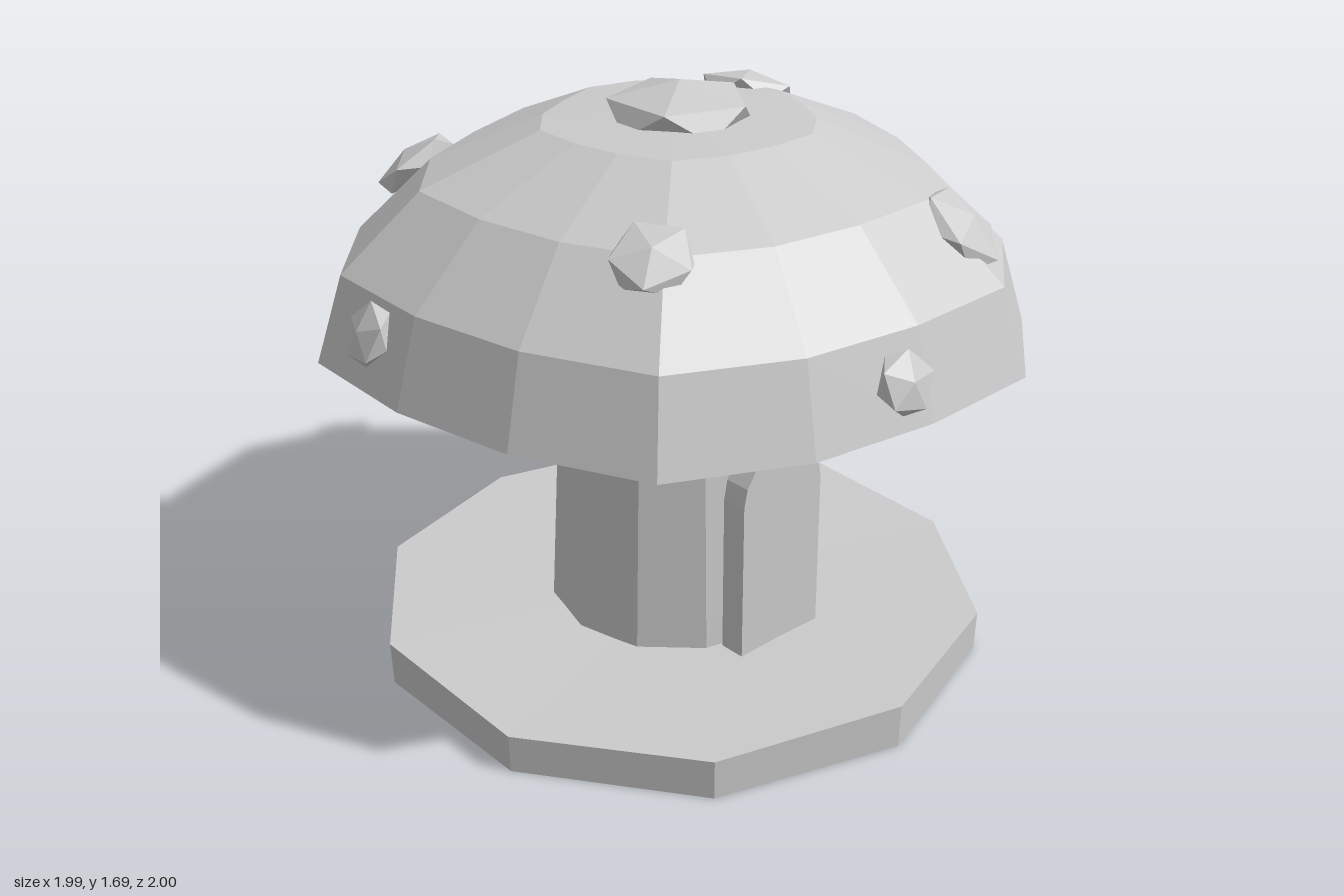
import * as THREE from 'three';

export function createModel() {
  const model = new THREE.Group();
  const material = new THREE.MeshStandardMaterial({ color: 0xcccccc, flatShading: true });

  function add(name, geometry, x = 0, y = 0, z = 0) {
    const mesh = new THREE.Mesh(geometry, material);
    mesh.name = name;
    mesh.position.set(x, y, z);
    model.add(mesh);
    return mesh;
  }

  // Ten-sided ground slab with a slightly uneven top edge
  const baseGeometry = new THREE.CylinderGeometry(0.905, 0.9, 0.12, 10);
  const basePos = baseGeometry.attributes.position;
  for (let i = 0; i < basePos.count; i++) {
    const x = basePos.getX(i), z = basePos.getZ(i);
    if (basePos.getY(i) > 0 && Math.hypot(x, z) > 0.1) {
      basePos.setY(i, 0.063 + 0.01 * Math.cos(3 * Math.atan2(x, z)));
    }
  }
  add('base', baseGeometry, -0.013, 0.06, 0.008);

  // Tapered stem
  add('stem', new THREE.CylinderGeometry(0.34, 0.385, 0.89, 12), -0.01, 0.555, 0.005);

  // Domed cap with a closed underside; each column has its own radius
  const capHeight = 1;
  const profile = [[0, 0], [1, 0], [0.924, 0.243], [0.707, 0.45], [0.383, 0.583], [0, 0.6]]
    .map(([r, y]) => new THREE.Vector2(r, y));
  const columnRadius = [0.95, 1.01, 0.97, 0.94, 0.99, 0.985, 0.92, 0.98,
    1, 0.935, 0.98, 1.03, 0.965, 0.97, 1.03, 0.975];
  const capGeometry = new THREE.LatheGeometry(profile, 16);
  const capPos = capGeometry.attributes.position;
  for (let i = 0; i < capPos.count; i++) {
    const x = capPos.getX(i), z = capPos.getZ(i);
    const column = (Math.round(Math.atan2(x, z) / (Math.PI / 8)) + 16) % 16;
    capPos.setX(i, x * columnRadius[column]);
    capPos.setZ(i, z * columnRadius[column]);
  }
  capGeometry.computeVertexNormals();
  add('cap', capGeometry, 0, capHeight, 0);

  // Faceted spots: flattened icosahedra, pole turned along the cap's normal
  const spotGeometry = new THREE.IcosahedronGeometry(1, 0);
  spotGeometry.rotateX(-Math.atan((1 + Math.sqrt(5)) / 2));
  spotGeometry.rotateY(Math.PI / 2);
  const up = new THREE.Vector3(0, 1, 0);
  const spots = [
    [0, 1.6, 0, 0.225],
    [0.36, 1.36, 0.7, 0.145],
    [-0.12, 1.15, 0.95, 0.092],
    [-0.52, 1.44, 0.48, 0.12],
    [-0.95, 1.17, -0.13, 0.095],
    [-0.46, 1.4, -0.61, 0.133],
    [0.4, 1.55, -0.15, 0.15],
    [0.32, 1.19, -0.87, 0.1],
  ];
  for (const [x, y, z, r] of spots) {
    const spot = add('spot', spotGeometry, x, y, z);
    const normal = new THREE.Vector3(x, (y - capHeight) / 0.41, z).normalize();
    spot.quaternion.setFromUnitVectors(up, normal);
    spot.scale.set(r, r * 0.38, r);
  }

  // Arched door standing proud of the stem
  const arch = new THREE.Shape();
  arch.moveTo(-0.15, 0);
  arch.lineTo(0.15, 0);
  arch.lineTo(0.15, 0.48);
  arch.absarc(0, 0.48, 0.15, 0, Math.PI, false);
  arch.closePath();
  const doorGeometry = new THREE.ExtrudeGeometry(arch, {
    depth: 0.08, bevelEnabled: false, curveSegments: 4,
  });
  add('door', doorGeometry, -0.01, 0.12, 0.36);

  // Round windows
  for (const [x, y, r] of [[-0.225, 0.79, 0.074], [0.21, 0.712, 0.062]]) {
    const pane = new THREE.CylinderGeometry(r, r, 0.075, 16).rotateX(Math.PI / 2);
    add('window', pane, x, y, 0.365);
  }

  return model;
}
